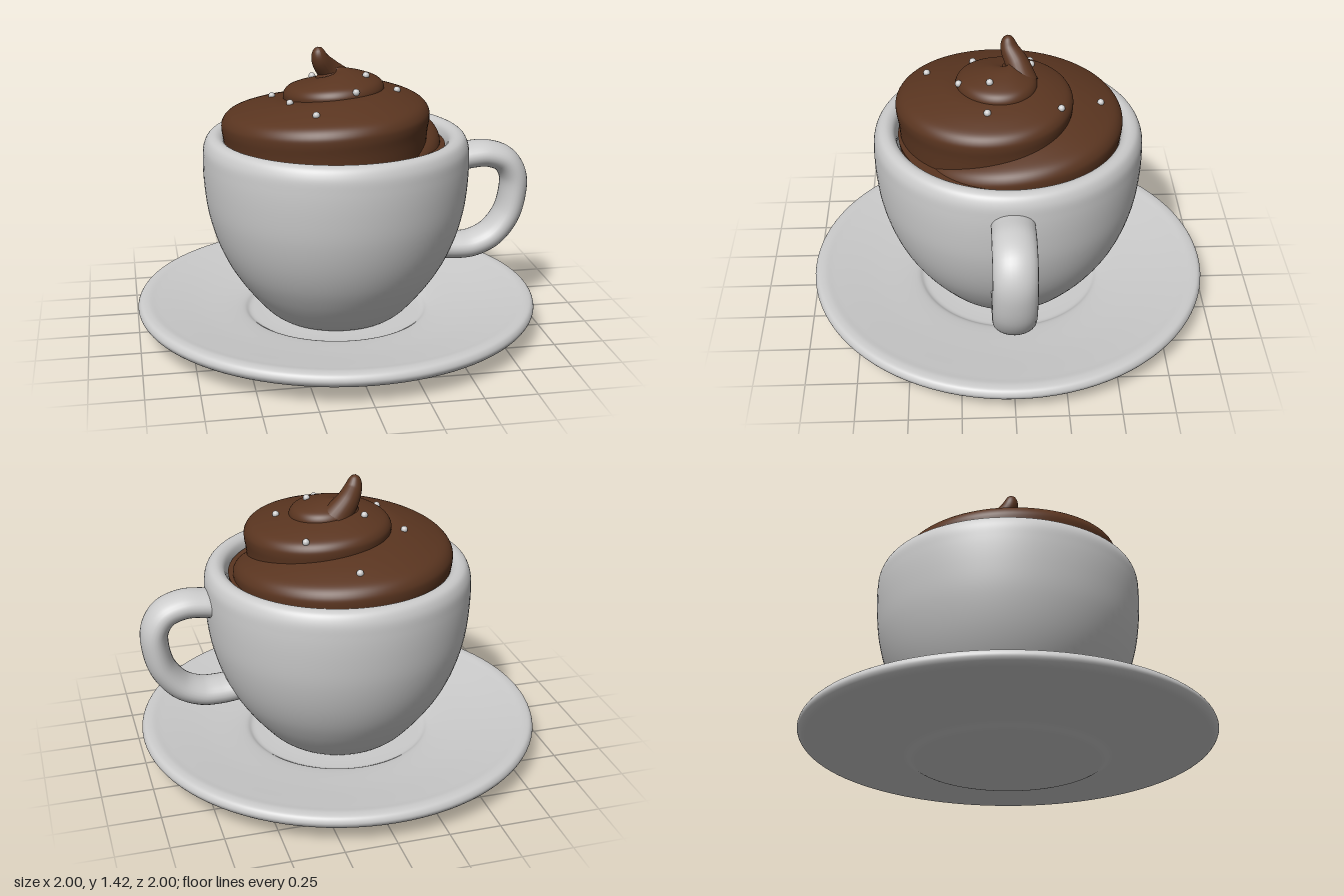
import * as THREE from 'three';

const grey = () => new THREE.MeshStandardMaterial({ color: 0xcccccc, side: THREE.DoubleSide });
const brown = () => new THREE.MeshStandardMaterial({ color: 0x5a3520, side: THREE.DoubleSide });

function add(group, name, geometry, material) {
  const mesh = new THREE.Mesh(geometry, material);
  mesh.name = name;
  group.add(mesh);
  return mesh;
}

const vectors = (list) => list.map(([x, y, z = 0]) => new THREE.Vector3(x, y, z));
const curve = (list) => new THREE.CatmullRomCurve3(vectors(list), false, 'catmullrom', 0.5);

// Smooth turned body from a few profile points (radius, height)
function turned(profile, steps) {
  const points = new THREE.CatmullRomCurve3(vectors(profile)).getPoints(steps)
    .map((p) => new THREE.Vector2(Math.max(p.x, 0), p.y));
  return new THREE.LatheGeometry(points, 96);
}

// Sheet swept along an inward, rising spiral; each turn laps over the one below
function swirlGeometry() {
  // Outer radius and height of the rounded edge, one entry per quarter turn
  const path = curve([
    [0.48, 0.85], [0.515, 0.97], [0.555, 1.02], [0.56, 1.05], [0.54, 1.10], [0.43, 1.13], [0.30, 1.17],
    [0.255, 1.19], [0.25, 1.22], [0.225, 1.235], [0.125, 1.25], [0.10, 1.25], [0.03, 1.25],
  ]);
  // Section: up the wall, over the rounded edge, then in along the top
  const section = curve([
    [-0.02, -0.22], [-0.01, -0.09], [0, -0.02], [-0.005, 0.02], [-0.035, 0.055],
    [-0.10, 0.082], [-0.18, 0.105], [-0.26, 0.12], [-0.36, 0.12],
  ]).getPoints(40);
  const turns = 288, row = section.length;
  const positions = [], index = [];
  for (let i = 0; i <= turns; i++) {
    const edge = path.getPoint(i / turns);
    const angle = Math.PI / 2 - (i / turns) * 6 * Math.PI;
    const k = 0.45 + edge.x;
    section.forEach((s, j) => {
      const r = Math.max(edge.x + s.x * k, 0);
      positions.push(r * Math.cos(angle), edge.y + s.y * k, r * Math.sin(angle));
      if (i < turns && j < row - 1) {
        const a = i * row + j, b = a + row;
        index.push(a, b, a + 1, b, b + 1, a + 1);
      }
    });
  }
  const geometry = new THREE.BufferGeometry();
  geometry.setAttribute('position', new THREE.Float32BufferAttribute(positions, 3));
  geometry.setIndex(index);
  geometry.computeVertexNormals();
  return geometry;
}

// Tapered, leaning peak
function peakGeometry() {
  const path = curve([[0.04, 1.23, -0.07], [-0.03, 1.30, -0.045], [-0.075, 1.36, -0.01], [-0.09, 1.425, 0]]);
  const rings = 32, sides = 24;
  const geometry = new THREE.TubeGeometry(path, rings, 1, sides);
  const pos = geometry.attributes.position;
  const p = new THREE.Vector3();
  for (let i = 0; i < pos.count; i++) {
    const u = Math.floor(i / (sides + 1)) / rings;
    const centre = path.getPointAt(u);
    const radius = 0.075 * (1 - 0.55 * u) * Math.sqrt(1 - u ** 10);
    p.fromBufferAttribute(pos, i).sub(centre).multiplyScalar(radius).add(centre);
    pos.setXYZ(i, p.x, p.y, p.z);
  }
  geometry.computeVertexNormals();
  return geometry;
}

export function createModel() {
  const model = new THREE.Group();
  model.name = 'cupOnSaucer';

  // Saucer with a raised foot below and a shallow well on top
  add(model, 'saucer', turned([
    [0, 0.005], [0.2, 0.005], [0.40, 0.005], [0.45, 0.013], [0.49, 0.032], [0.54, 0.042], [0.75, 0.065],
    [0.93, 0.087], [0.98, 0.10], [1.0, 0.13], [0.988, 0.157], [0.955, 0.165], [0.9, 0.157],
    [0.7, 0.125], [0.50, 0.097], [0.465, 0.088], [0.44, 0.074], [0.40, 0.07], [0.2, 0.07], [0, 0.07],
  ], 120), grey());

  // Cup: outside wall, rounded lip, inside wall
  add(model, 'cup', turned([
    [0, 0.06], [0.2, 0.06], [0.30, 0.068], [0.35, 0.10], [0.41, 0.165], [0.48, 0.255], [0.545, 0.36],
    [0.597, 0.48], [0.635, 0.62], [0.652, 0.76], [0.655, 0.88], [0.648, 0.95], [0.625, 0.99],
    [0.59, 1.0], [0.56, 0.985], [0.545, 0.95], [0.54, 0.86], [0.52, 0.65], [0.45, 0.42], [0.3, 0.2], [0, 0.15],
  ], 140), grey());

  // Handle: oval tube, wider across than it is thick
  const handlePath = curve([
    [0.60, 0.835], [0.68, 0.85], [0.77, 0.853], [0.86, 0.82], [0.91, 0.745], [0.915, 0.65],
    [0.885, 0.53], [0.81, 0.43], [0.71, 0.38], [0.61, 0.373], [0.50, 0.385],
  ]);
  const handle = new THREE.TubeGeometry(handlePath, 64, 0.067, 28);
  handle.scale(1, 1, 1.52);
  add(model, 'handle', handle, grey());

  // Whipped topping
  const topping = new THREE.Group();
  topping.name = 'topping';
  model.add(topping);
  const swirl = add(topping, 'swirl', swirlGeometry(), brown());
  add(topping, 'peak', peakGeometry(), brown());
  const base = new THREE.CylinderGeometry(0.535, 0.53, 0.04, 64);
  base.translate(0, 0.93, 0);
  add(topping, 'toppingBase', base, brown());

  // Sprinkles dropped onto the swirl
  const sprinkles = new THREE.Group();
  sprinkles.name = 'sprinkles';
  model.add(sprinkles);
  const ray = new THREE.Raycaster();
  const down = new THREE.Vector3(0, -1, 0);
  const spots = [
    [0.02, -0.445], [0.22, -0.24], [-0.30, -0.12], [-0.10, -0.115], [0.13, 0.09],
    [0.28, 0.105], [-0.25, 0.165], [0.055, 0.235], [-0.16, 0.39],
  ];
  for (const [x, z] of spots) {
    ray.set(new THREE.Vector3(x, 2, z), down);
    const hit = ray.intersectObject(swirl)[0];
    const ball = add(sprinkles, 'sprinkle', new THREE.SphereGeometry(0.017, 16, 12), grey());
    ball.position.set(x, (hit ? hit.point.y : 1.2) + 0.005, z);
  }
  return model;
}
